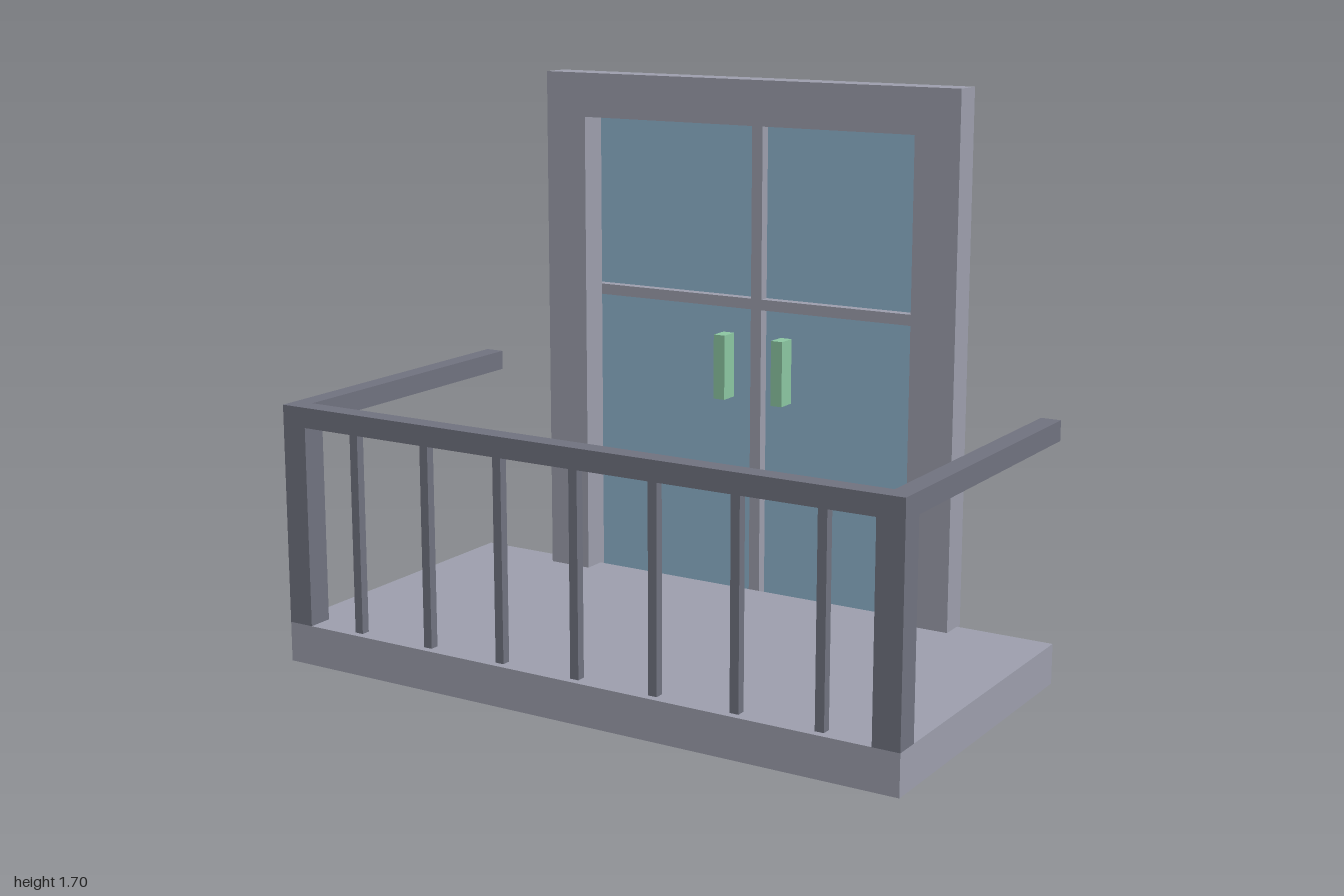
import * as THREE from 'three';

const mat = (name, color) => {
  const m = new THREE.MeshStandardMaterial({ color });
  m.name = name;
  return m;
};

export function createModel() {
  const model = new THREE.Group();
  model.name = 'balcony';
  const stone = mat('light grey', 0x9b9dab);
  const iron = mat('dark grey', 0x6f717e);
  const glass = mat('pale blue glass', 0x8eb2cb);
  const green = mat('soft green', 0x8ac4a0);

  // Box given by its lower and upper corners
  const box = (name, material, [x0, y0, z0], [x1, y1, z1], parent = model) => {
    const mesh = new THREE.Mesh(new THREE.BoxGeometry(x1 - x0, y1 - y0, z1 - z0), material);
    mesh.position.set((x0 + x1) / 2, (y0 + y1) / 2, (z0 + z1) / 2);
    mesh.name = name;
    parent.add(mesh);
  };

  // Floor slab
  box('floorSlab', stone, [-1, 0, -0.462], [1, 0.12, 0.535]);

  // Door frame: an arch of two jambs and a lintel
  const outline = [[-0.7, 0], [-0.56, 0], [-0.56, 1.565], [0.56, 1.565], [0.56, 0], [0.7, 0], [0.7, 1.7], [-0.7, 1.7]];
  const shape = new THREE.Shape(outline.map(([x, y]) => new THREE.Vector2(x, y)));
  const frame = new THREE.Mesh(new THREE.ExtrudeGeometry(shape, { depth: 0.09, bevelEnabled: false }), stone);
  frame.position.z = -0.482;
  frame.name = 'doorFrame';
  model.add(frame);

  // Glass doors with crossing bars and two handles
  const doors = new THREE.Group();
  doors.name = 'doors';
  model.add(doors);
  box('glassPane', glass, [-0.6, 0, -0.535], [0.6, 1.6, -0.515], doors);
  box('uprightBar', stone, [-0.018, 0, -0.515], [0.018, 1.6, -0.482], doors);
  box('crossBar', stone, [-0.6, 1.0, -0.515], [0.6, 1.033, -0.482], doors);
  for (const s of [-1, 1]) {
    const x = s * 0.1;
    box('handle', green, [x - 0.019, 0.72, -0.491], [x + 0.019, 0.92, -0.432], doors);
  }

  // Railing: top rails, corner posts and balusters
  const railing = new THREE.Group();
  railing.name = 'railing';
  model.add(railing);
  box('frontRail', iron, [-1, 0.72, 0.475], [1, 0.78, 0.535], railing);
  for (const s of [-1, 1]) {
    const span = (a, b) => (s > 0 ? [a, b] : [-b, -a]);
    const [r0, r1] = span(0.94, 1);
    box('sideRail', iron, [r0, 0.72, -0.462], [r1, 0.78, 0.475], railing);
    const [p0, p1] = span(0.92, 1);
    box('cornerPost', iron, [p0, 0.12, 0.458], [p1, 0.72, 0.535], railing);
  }
  for (let i = -3; i <= 3; i++) {
    const x = i * 0.253;
    box('baluster', iron, [x - 0.0135, 0.12, 0.485], [x + 0.0135, 0.72, 0.512], railing);
  }
  return model;
}
